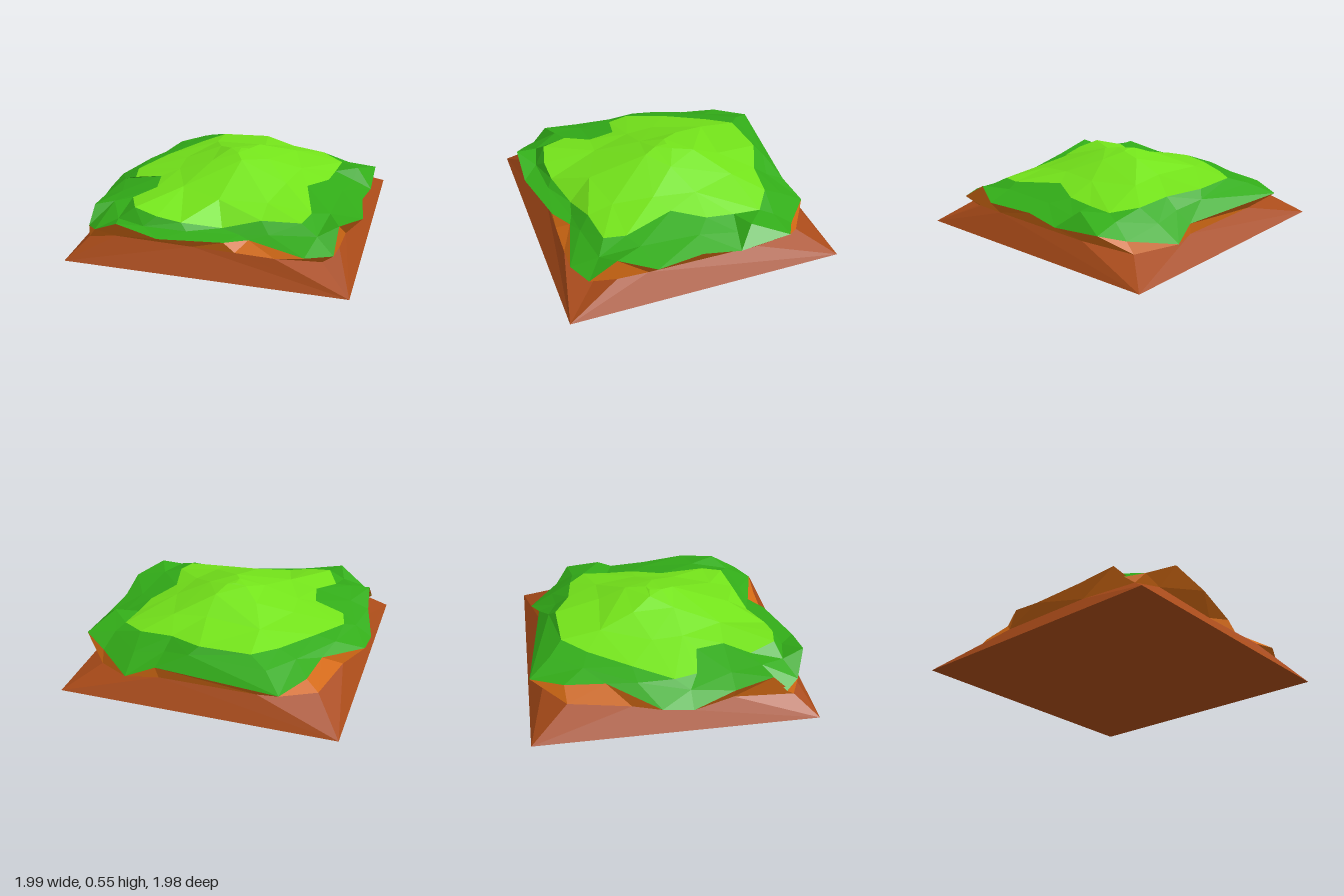
import * as THREE from 'three';

// Rings of [x, y, z] points, from the ground up to the summit
const underside = [[0, 0, 0]];
const corners = [[-0.99, 0, -0.99], [0.99, 0, -0.99], [0.99, 0, 0.99], [-0.99, 0, 0.99]];

const waist = [
  [-0.86, 0.13, 0.83], [-0.65, 0.175, 0.86], [-0.1, 0.165, 0.86], [0.2, 0.165, 0.87],
  [0.47, 0.165, 0.88], [0.77, 0.12, 0.76], [0.86, 0.17, 0.62], [0.87, 0.17, 0.4],
  [0.87, 0.16, -0.4], [0.77, 0.13, -0.76], [0.3, 0.16, -0.86], [-0.4, 0.16, -0.86],
  [-0.79, 0.17, -0.73], [-0.87, 0.16, -0.3], [-0.87, 0.16, 0.4],
];

const grassEdge = [
  [-0.58, 0.25, -0.97], [0.32, 0.24, -0.87], [0.52, 0.17, -0.93], [0.78, 0.21, -0.71],
  [0.95, 0.27, -0.61], [0.96, 0.24, -0.24], [0.93, 0.27, 0.03], [0.98, 0.28, 0.37],
  [0.85, 0.32, 0.61], [0.85, 0.2, 0.81], [0.67, 0.2, 0.89], [0.27, 0.225, 0.78],
  [0.12, 0.23, 0.87], [-0.31, 0.25, 0.97], [-0.6, 0.32, 0.96], [-0.8, 0.21, 0.87],
  [-0.89, 0.18, 0.77], [-0.88, 0.3, 0.67], [-0.92, 0.25, 0.4], [-1, 0.18, 0.1],
  [-0.99, 0.2, -0.11], [-0.75, 0.28, -0.46], [-0.71, 0.27, -0.74],
];

const shoulder = [
  [-0.45, 0.33, -0.82], [0.1, 0.34, -0.8], [0.3, 0.3, -0.74], [0.52, 0.27, -0.76],
  [0.74, 0.3, -0.58], [0.84, 0.35, -0.36], [0.82, 0.285, -0.27], [0.78, 0.31, 0],
  [0.76, 0.315, 0.42], [0.72, 0.27, 0.7], [0.4, 0.26, 0.74], [0.2, 0.24, 0.75],
  [-0.15, 0.26, 0.83], [-0.45, 0.27, 0.85], [-0.65, 0.28, 0.8], [-0.75, 0.32, 0.62],
  [-0.78, 0.3, 0.4], [-0.88, 0.26, 0.1], [-0.8, 0.3, -0.25], [-0.6, 0.32, -0.6],
];

const meadowEdge = [
  [-0.32, 0.38, -0.73], [0.04, 0.39, -0.75], [0.28, 0.37, -0.64], [0.53, 0.35, -0.61],
  [0.7, 0.33, -0.49], [0.68, 0.33, -0.3], [0.66, 0.34, -0.1], [0.54, 0.37, 0.12],
  [0.64, 0.33, 0.48], [0.6, 0.32, 0.63], [0.33, 0.32, 0.66], [0.07, 0.26, 0.72],
  [-0.2, 0.3, 0.79], [-0.37, 0.33, 0.8], [-0.54, 0.36, 0.76], [-0.63, 0.34, 0.57],
  [-0.51, 0.36, 0.4], [-0.55, 0.36, 0.2], [-0.77, 0.31, 0.16], [-0.81, 0.31, 0],
  [-0.66, 0.34, -0.27], [-0.47, 0.36, -0.56],
];

const slope = [
  [-0.3, 0.42, -0.45], [0.1, 0.44, -0.42], [0.35, 0.42, -0.42], [0.45, 0.41, -0.1],
  [0.4, 0.41, 0.2], [0.33, 0.37, 0.48], [0, 0.39, 0.55], [-0.3, 0.4, 0.42],
  [-0.43, 0.4, 0.12], [-0.45, 0.4, -0.1],
];

const crest = [
  [-0.2, 0.485, -0.2], [0.1, 0.52, -0.22], [0.22, 0.5, 0], [0.05, 0.525, 0.13], [-0.18, 0.485, 0.1],
];

const knoll = [[-0.08, 0.535, -0.06], [0.06, 0.54, -0.07], [0, 0.54, 0.04]];
const summit = [[0, 0.545, -0.05]];

const angle = (p) => Math.atan2(p[2], p[0]);

// Stitches two closed rings of any size together, stepping around by angle
function stitch(lower, upper) {
  const a = [...lower].sort((p, q) => angle(p) - angle(q));
  const b = [...upper].sort((p, q) => angle(p) - angle(q));
  const at = (ring, k) => ring[k % ring.length];
  const turn = (ring, k) => angle(at(ring, k)) + 2 * Math.PI * Math.floor(k / ring.length);
  const middle = (ring, k) => (turn(ring, k) + turn(ring, k + 1)) / 2;
  const out = [];
  let i = 0, j = 0;
  while (i < a.length || j < b.length) {
    const stepLower = j >= b.length || (i < a.length && middle(a, i) < middle(b, j));
    const next = stepLower ? at(a, i + 1) : at(b, j + 1);
    // A single-point ring only forms a fan, so its own step is skipped
    if ((stepLower ? a : b).length > 1) out.push(...at(a, i), ...at(b, j), ...next);
    if (stepLower) i++; else j++;
  }
  return out;
}

// Faceted mesh through a stack of rings
function layer(name, color, rings) {
  const positions = [];
  for (let k = 0; k < rings.length - 1; k++) positions.push(...stitch(rings[k], rings[k + 1]));
  const geometry = new THREE.BufferGeometry();
  geometry.setAttribute('position', new THREE.Float32BufferAttribute(positions, 3));
  geometry.computeVertexNormals();
  const mesh = new THREE.Mesh(geometry, new THREE.MeshStandardMaterial({ color, flatShading: true }));
  mesh.name = name;
  return mesh;
}

export function createModel() {
  const group = new THREE.Group();
  group.name = 'grassyHill';
  group.add(
    layer('earthBase', 0xa84a18, [underside, corners, waist]),
    layer('earthBank', 0xd46a14, [waist, grassEdge]),
    layer('grassBorder', 0x32ac18, [grassEdge, shoulder, meadowEdge]),
    layer('hilltopMeadow', 0x74e41a, [meadowEdge, slope, crest, knoll, summit]),
  );
  return group;
}
